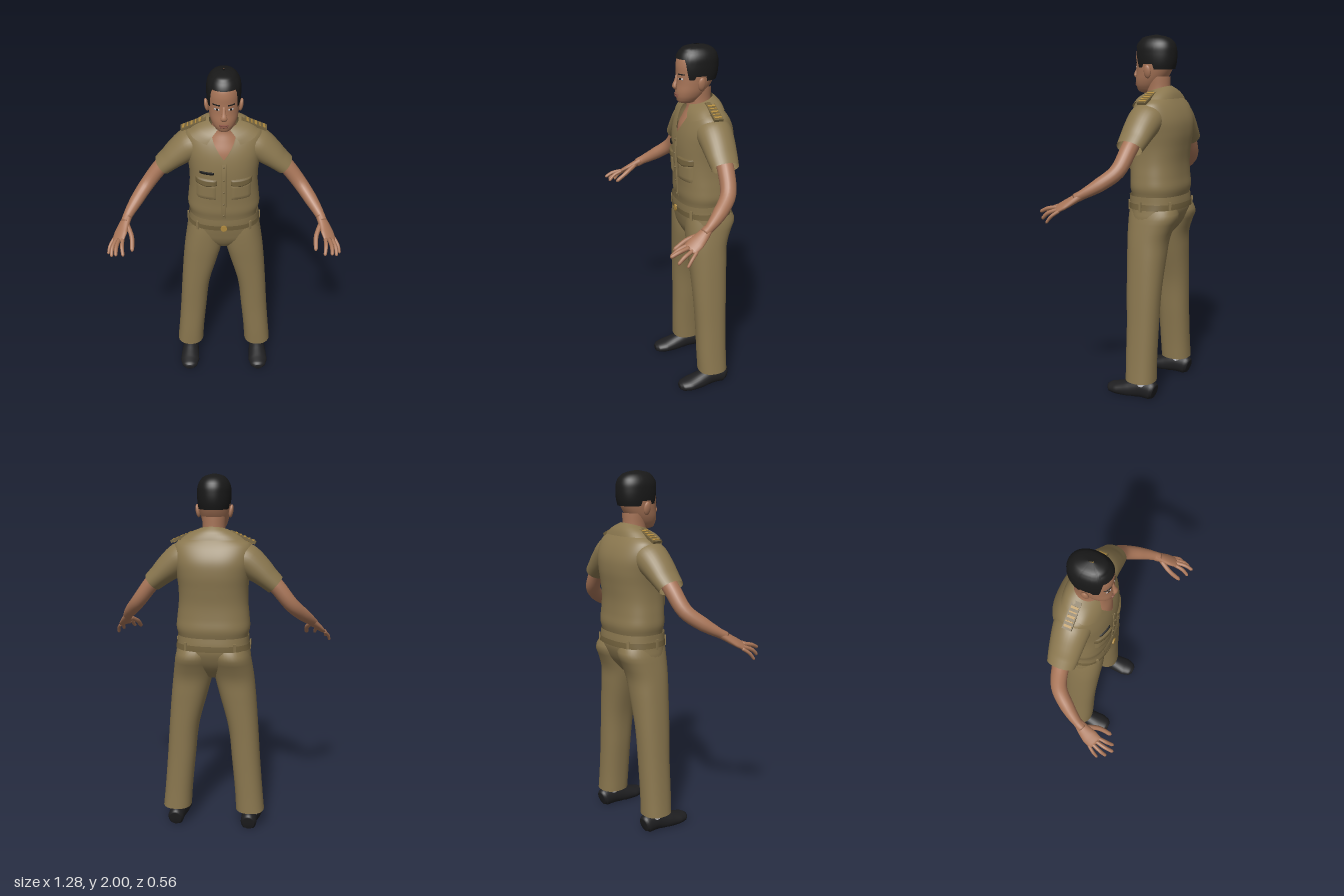
import * as THREE from 'three';
import { mergeVertices } from 'three/addons/utils/BufferGeometryUtils.js';

const mat = (name, color, side = THREE.FrontSide) => {
  const m = new THREE.MeshStandardMaterial({ color, side });
  m.name = name;
  return m;
};
const V = (x, y, z) => new THREE.Vector3(x, y, z);
const TAU = Math.PI * 2;
const spow = (v, p) => Math.sign(v) * Math.pow(Math.abs(v), p);

// Smooth surface from a rule f(u, v), u across and v up, both 0..1
function grid(cols, rows, f) {
  const pos = [], idx = [];
  for (let i = 0; i <= rows; i++)
    for (let j = 0; j <= cols; j++) pos.push(...f(j / cols, i / rows, j, i));
  for (let i = 0; i < rows; i++)
    for (let j = 0; j < cols; j++) {
      const a = i * (cols + 1) + j, b = a + cols + 1;
      idx.push(a, a + 1, b + 1, a, b + 1, b);
    }
  let g = new THREE.BufferGeometry();
  g.setAttribute('position', new THREE.Float32BufferAttribute(pos, 3));
  g.setIndex(idx);
  g = mergeVertices(g, 1e-5);
  g.computeVertexNormals();
  return g;
}

// Body profile: rows of [y, centre x, front z, back z, half width], super-elliptic sections
function profile(secs, n = 2) {
  const spline = new THREE.CubicInterpolant(secs.map(s => s[0]), secs.flatMap(s => s.slice(1)), 4);
  const at = y => Array.from(spline.evaluate(y));
  const point = (a, y, off = 0) => {
    const [cx, f, b, w] = at(y);
    return [cx + (w + off) * spow(Math.sin(a), 2 / n), y, (f + b) / 2 + ((f - b) / 2 + off) * spow(Math.cos(a), 2 / n)];
  };
  const frontZ = (x, y) => {
    const [cx, f, b, w] = at(y);
    const k = Math.min(1, Math.abs((x - cx) / w));
    return (f + b) / 2 + (f - b) / 2 * Math.pow(1 - Math.pow(k, n), 1 / n);
  };
  const y0 = secs[0][0], y1 = secs[secs.length - 1][0];
  const loft = (rows = 28, cols = 48, lo = () => y0, hi = () => y1, off = 0) => grid(cols, rows, (u, v) => {
    const a = u === 1 ? 0 : u * TAU, w = Math.min(a, TAU - a);
    return point(a, lo(w) + (hi(w) - lo(w)) * v, off);
  });
  // Thin raised plate following the front surface
  const plate = (xa, xb, ya, yb, off = 0.006, drop = 0) => grid(10, 8, (u, v, j, i) => {
    const x = xa + (xb - xa) * u;
    const y = ya + (yb - ya) * v - drop * (1 - v) * (1 - Math.abs(2 * u - 1));
    const edge = j === 0 || j === 10 || i === 0 || i === 8;
    return [x, y, frontZ(x, y) + (edge ? -0.002 : off)];
  });
  return { point, loft, plate, frontZ };
}

// Tapered limb: rows of [x, y, z, radius along ref, radius across]
function limb(rows, ref = V(0, 0, 1), caps = true, cols = 20) {
  const curve = new THREE.CatmullRomCurve3(rows.map(r => V(r[0], r[1], r[2])));
  const N = (rows.length - 1) * 5;
  return grid(cols, N + 2, (u, v, j, i) => {
    const t = Math.min(1, Math.max(0, (i - 1) / N));
    const s = t * (rows.length - 1), k = Math.min(rows.length - 2, Math.floor(s)), q = s - k;
    const shut = caps && (i === 0 || i === N + 2) ? 0 : 1;
    const r = [3, 4].map(c => shut * (rows[k][c] * (1 - q) + rows[k + 1][c] * q));
    const T = curve.getTangent(t);
    const n = ref.clone().addScaledVector(T, -ref.dot(T)).normalize();
    const b = T.clone().cross(n), a = (j % cols) / cols * TAU;
    return curve.getPoint(t).addScaledVector(n, r[0] * Math.cos(a)).addScaledVector(b, r[1] * Math.sin(a)).toArray();
  });
}

function mirrored(geo) {
  const g = geo.clone().scale(-1, 1, 1), ix = g.index.array;
  for (let i = 0; i < ix.length; i += 3) [ix[i], ix[i + 1]] = [ix[i + 1], ix[i]];
  g.computeVertexNormals();
  return g;
}

export function createModel() {
  const root = new THREE.Group();
  root.name = 'uniformedMan';
  const D = THREE.DoubleSide;
  const khaki = mat('khaki cloth', 0x8a774f, D), dark = mat('dark khaki trim', 0x75643f, D);
  const skin = mat('skin', 0xa87558), lip = mat('lips', 0x8a5546, D);
  const black = mat('black hair', 0x191919, D), leather = mat('black leather', 0x1f1f21);
  const gold = mat('gold', 0xb08a3e), white = mat('white', 0xc4c4c8, D);
  const add = (name, geo, m) => {
    const mesh = new THREE.Mesh(geo, m);
    mesh.name = name;
    root.add(mesh);
    return mesh;
  };
  const pair = (name, geo, m) => {
    add(name + 'Left', geo, m);
    add(name + 'Right', mirrored(geo), m);
  };

  // Shirt with an open V neck
  const shirt = profile([
    [1.10, 0, 0.01, -0.245, 0.185], [1.14, 0, 0.016, -0.258, 0.192], [1.18, 0, 0.024, -0.267, 0.202],
    [1.24, 0, 0.026, -0.262, 0.198], [1.32, 0, 0.031, -0.26, 0.19], [1.40, 0, 0.034, -0.268, 0.19],
    [1.48, 0, 0.032, -0.277, 0.2], [1.55, 0, 0.02, -0.272, 0.212], [1.61, 0, -0.002, -0.248, 0.212],
    [1.645, 0, -0.02, -0.225, 0.195], [1.67, 0, -0.033, -0.205, 0.145], [1.69, 0, -0.04, -0.188, 0.088]], 2.4);
  add('shirt', shirt.loft(40, 96, () => 1.10, w => w < 0.36 ? 1.53 + 0.16 * w / 0.36 : 1.69), khaki);
  pair('sleeve', limb([[0.11, 1.575, -0.122, 0.10, 0.085], [0.18, 1.55, -0.122, 0.098, 0.088],
    [0.245, 1.502, -0.12, 0.09, 0.075], [0.295, 1.458, -0.118, 0.083, 0.062], [0.338, 1.42, -0.116, 0.075, 0.055]],
    V(0, 0, 1), false, 32), khaki);

  // Folded collar, open at the front
  add('collar', grid(60, 4, (u, v) => {
    const a = 0.34 + u * (TAU - 0.68), c = Math.cos(a), f = Math.max(0, c);
    const low = shirt.point(a, 1.663 - 0.058 * f * f, 0.01);
    const top = [0.078 * Math.sin(a), 1.708 - 0.022 * c, -0.105 + 0.07 * c];
    const puff = 0.008 * Math.sin(v * Math.PI);
    return low.map((p, k) => p + (top[k] - p) * v + puff * [Math.sin(a), 0.5, c][k]);
  }), khaki);

  // Placket, buttons, chest pockets and name plate
  add('placket', shirt.plate(-0.014, 0.014, 1.13, 1.525, 0.004), khaki);
  for (let i = 0; i < 5; i++) {
    const y = 1.17 + i * 0.08;
    const b = add('button', new THREE.SphereGeometry(0.006, 10, 8), dark);
    b.position.set(0, y, shirt.frontZ(0, y) + 0.004);
  }
  pair('pocket', shirt.plate(0.04, 0.152, 1.275, 1.385, 0.007), khaki);
  pair('pocketFlap', shirt.plate(0.036, 0.156, 1.375, 1.412, 0.011, 0.014), dark);
  add('namePlate', shirt.plate(-0.132, -0.052, 1.442, 1.457, 0.007), black);

  // Shoulder boards with gold bars
  const board = (w, h, d, x) => new THREE.BoxGeometry(w, h, d).translate(x, 0, 0).rotateZ(-0.4).translate(0.16, 1.672, -0.123);
  pair('shoulderBoard', board(0.148, 0.014, 0.05, 0), dark);
  for (let i = 0; i < 5; i++) pair('shoulderBar', board(i % 2 ? 0.007 : 0.012, 0.02, 0.04, -0.04 + i * 0.024), gold);

  // Trousers: hips and two legs
  const hips = profile([
    [0.9, 0, -0.04, -0.17, 0.05], [0.94, 0, -0.012, -0.205, 0.13], [0.98, 0, 0.006, -0.235, 0.202],
    [1.02, 0, 0.016, -0.255, 0.208], [1.06, 0, 0.024, -0.267, 0.203], [1.10, 0, 0.03, -0.268, 0.198],
    [1.14, 0, 0.032, -0.264, 0.197]], 2.4);
  add('hips', hips.loft(), khaki);
  const leg = profile([
    [0.10, 0.214, -0.03, -0.202, 0.081], [0.2, 0.206, -0.026, -0.2, 0.079], [0.4, 0.188, -0.022, -0.201, 0.08],
    [0.6, 0.17, -0.012, -0.206, 0.084], [0.8, 0.136, 0, -0.216, 0.102], [0.9, 0.118, 0.007, -0.225, 0.109],
    [0.98, 0.108, 0.01, -0.255, 0.107], [1.03, 0.103, 0.01, -0.276, 0.103], [1.07, 0.098, 0.008, -0.262, 0.096]], 2.3);
  pair('trouserLeg', leg.loft(36, 40), khaki);

  // Belt, loops and buckle
  add('belt', hips.loft(3, 64, () => 1.068, () => 1.1, 0.004), dark);
  for (const a of [0.75, 1.5, 2.5, -0.75, -1.5, -2.5]) {
    const loop = add('beltLoop', new THREE.BoxGeometry(0.014, 0.055, 0.008), khaki);
    loop.position.set(...hips.point(a, 1.085, 0.005));
    loop.rotation.y = a;
  }
  const buckle = add('buckle', new THREE.CylinderGeometry(0.019, 0.019, 0.009, 8).rotateX(Math.PI / 2), gold);
  buckle.position.set(0, 1.085, 0.034);

  // Socks and shoes
  pair('sock', new THREE.CylinderGeometry(0.045, 0.042, 0.1, 20).translate(0.214, 0.12, -0.13), white);
  const shoe = limb([[0.213, 0.04, -0.202, 0.04, 0.034], [0.213, 0.045, -0.185, 0.056, 0.045],
    [0.213, 0.047, -0.11, 0.056, 0.046], [0.216, 0.032, -0.04, 0.05, 0.054], [0.218, 0.022, 0.03, 0.036, 0.059],
    [0.218, 0.018, 0.075, 0.028, 0.046], [0.218, 0.016, 0.094, 0.018, 0.024]], V(0, 1, 0), true, 28);
  const sp = shoe.attributes.position;
  for (let i = 0; i < sp.count; i++) sp.setY(i, Math.max(0, sp.getY(i)));
  shoe.computeVertexNormals();
  pair('shoe', shoe, leather);

  // Arms and hands
  pair('arm', limb([[0.28, 1.475, -0.118, 0.045, 0.045], [0.345, 1.41, -0.116, 0.045, 0.044],
    [0.425, 1.308, -0.095, 0.042, 0.04], [0.485, 1.242, -0.025, 0.038, 0.036],
    [0.53, 1.192, 0.05, 0.025, 0.026], [0.542, 1.172, 0.085, 0.024, 0.026]]), skin);
  const across = V(0.06, -0.02, -0.045).normalize();
  pair('palm', limb([[0.53, 1.19, 0.055, 0.025, 0.022], [0.549, 1.163, 0.095, 0.034, 0.02],
    [0.565, 1.138, 0.135, 0.043, 0.017], [0.577, 1.118, 0.17, 0.042, 0.013], [0.58, 1.113, 0.18, 0.03, 0.008]], across), skin);
  const fingers = [
    ['thumb', [0.53, 1.165, 0.1], [0.503, 1.13, 0.165], [0.498, 1.083, 0.233], 0.013],
    ['indexFinger', [0.552, 1.128, 0.18], [0.552, 1.108, 0.228], [0.545, 1.075, 0.266], 0.0105],
    ['middleFinger', [0.572, 1.122, 0.176], [0.582, 1.112, 0.232], [0.582, 1.09, 0.28], 0.011],
    ['ringFinger', [0.59, 1.114, 0.162], [0.607, 1.092, 0.215], [0.611, 1.06, 0.25], 0.0105],
    ['littleFinger', [0.604, 1.108, 0.148], [0.625, 1.08, 0.182], [0.634, 1.045, 0.208], 0.009]];
  for (const [name, a, m, e, r] of fingers) {
    const pre = m.map((p, k) => p + (e[k] - p) * 0.85);
    pair(name, limb([[...a, r, r], [...m, r, r], [...pre, r * 0.85, r * 0.85], [...e, r * 0.35, r * 0.35]], across, true, 12), skin);
  }

  // Neck and head
  add('neck', profile([[1.48, 0, 0.016, -0.2, 0.13], [1.56, 0, 0.006, -0.2, 0.13], [1.62, 0, -0.018, -0.19, 0.095],
    [1.66, 0, -0.034, -0.178, 0.068], [1.70, 0, -0.037, -0.168, 0.061], [1.78, 0, -0.035, -0.168, 0.064]]).loft(), skin);
  const head = profile([[1.688, 0, -0.012, -0.06, 0.012], [1.694, 0, 0.01, -0.085, 0.032], [1.715, 0, 0.024, -0.105, 0.053],
    [1.75, 0, 0.03, -0.135, 0.07], [1.80, 0, 0.026, -0.168, 0.08], [1.85, 0, 0.026, -0.187, 0.084],
    [1.90, 0, 0.026, -0.192, 0.084], [1.94, 0, 0.014, -0.185, 0.077], [1.97, 0, -0.015, -0.165, 0.058],
    [1.988, 0, -0.06, -0.12, 0.02]], 2.15);
  add('head', head.loft(36, 48), skin);
  pair('ear', new THREE.SphereGeometry(1, 16, 12).scale(0.012, 0.036, 0.021).rotateZ(-0.15).translate(0.09, 1.805, -0.082), skin);
  add('nose', limb([[0, 1.845, 0.022, 0.006, 0.008], [0, 1.81, 0.031, 0.01, 0.011], [0, 1.785, 0.038, 0.012, 0.018],
    [0, 1.772, 0.03, 0.008, 0.014]]), skin);
  add('upperLip', head.plate(-0.026, 0.026, 1.737, 1.746, 0.005), lip);
  add('lowerLip', head.plate(-0.022, 0.022, 1.726, 1.736, 0.006), lip);
  pair('eyebrow', head.plate(0.018, 0.058, 1.85, 1.857, 0.003), black);
  pair('eye', head.plate(0.021, 0.05, 1.824, 1.834, 0.002), white);
  pair('iris', head.plate(0.03, 0.041, 1.823, 1.835, 0.003), black);

  // Hair cap, with its lower edge set by the hairline
  const hair = profile([[1.80, 0, 0.02, -0.188, 0.08], [1.85, 0, 0.03, -0.202, 0.088], [1.90, 0, 0.031, -0.205, 0.09],
    [1.94, 0, 0.024, -0.2, 0.086], [1.97, 0, 0.005, -0.182, 0.07], [1.99, 0, -0.022, -0.148, 0.045],
    [2.0, 0, -0.07, -0.1, 0.006]], 2.15);
  const hairline = w => w < 0.75 ? 1.932 : w < 0.95 ? 1.932 - (w - 0.75) * 0.5 : w < 1.3 ? 1.826 : w < 1.75 ? 1.845 : 1.818;
  add('hair', hair.loft(24, 72, hairline), black);
  return root;
}
